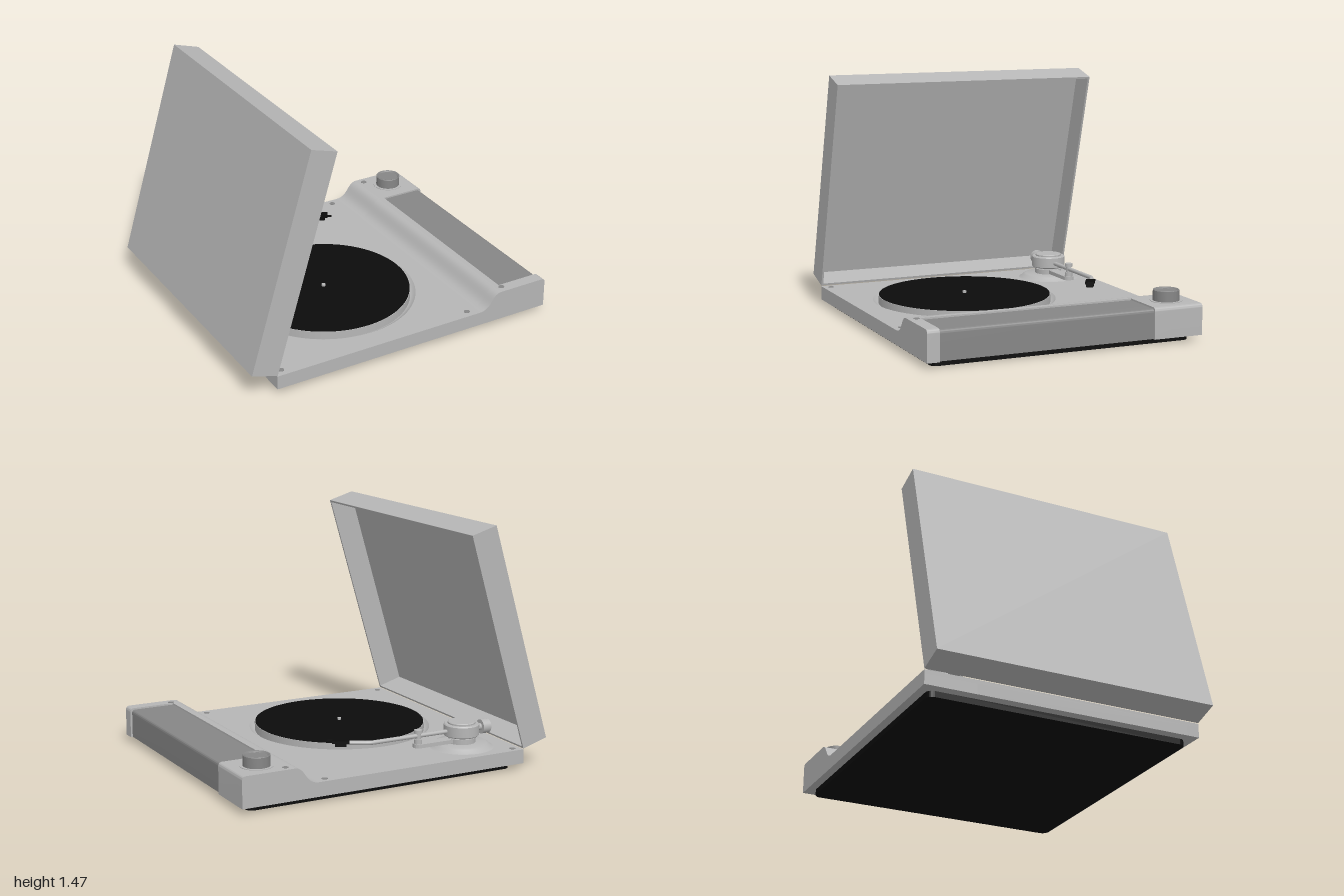
import * as THREE from 'three';
import { toCreasedNormals } from 'three/addons/utils/BufferGeometryUtils.js';

const material = (name, color, side = THREE.FrontSide) => {
  const m = new THREE.MeshStandardMaterial({ color, side });
  m.name = name;
  return m;
};

export function createModel() {
  const model = new THREE.Group();
  model.name = 'turntable';
  const grey = material('light grey', 0xb6b6b6);
  const dark = material('dark grey', 0x868686);
  const black = material('black', 0x0b0b0b);

  const add = (name, geometry, mat, x = 0, y = 0, z = 0, parent = model) => {
    const mesh = new THREE.Mesh(geometry, mat);
    mesh.name = name;
    mesh.position.set(x, y, z);
    parent.add(mesh);
    return mesh;
  };
  const smooth = (g) => toCreasedNormals(g, 0.6);
  // upright disc standing on y0
  const disc = (name, r, y0, y1, x, z, mat = grey, parent = model, seg = 48) =>
    add(name, new THREE.CylinderGeometry(r, r, y1 - y0, seg), mat, x, (y0 + y1) / 2, z, parent);
  // side profile swept along z
  const sweep = (name, shape, z0, z1, mat) =>
    add(name, smooth(new THREE.ExtrudeGeometry(shape, { depth: z1 - z0, bevelEnabled: false, curveSegments: 14 })), mat, 0, 0, z0);
  // plan outline (x, z) extruded downwards from y1
  const plate = (name, shape, y0, y1, mat, parent = model) =>
    add(name, smooth(new THREE.ExtrudeGeometry(shape, { depth: y1 - y0, bevelEnabled: false, curveSegments: 48 }).rotateX(Math.PI / 2)), mat, 0, y1, 0, parent);
  const roundedRect = (x0, z0, x1, z1, r) => {
    const s = new THREE.Shape();
    s.absarc(x1 - r, z0 + r, r, -Math.PI / 2, 0);
    s.absarc(x1 - r, z1 - r, r, 0, Math.PI / 2);
    s.absarc(x0 + r, z1 - r, r, Math.PI / 2, Math.PI);
    s.absarc(x0 + r, z0 + r, r, Math.PI, Math.PI * 1.5);
    s.closePath();
    return s;
  };

  // Body: stepped profile with an S-shaped rise towards the control ridge
  const profile = (full) => {
    const s = new THREE.Shape();
    s.moveTo(-0.84, 0.035);
    s.lineTo(full ? 1 : 0.712, 0.035);
    if (full) {
      s.lineTo(1, 0.195);
      s.quadraticCurveTo(1, 0.22, 0.975, 0.22);
    }
    s.lineTo(0.712, 0.22);
    s.lineTo(0.68, 0.22);
    s.bezierCurveTo(0.61, 0.22, 0.62, 0.12, 0.53, 0.12);
    s.lineTo(0.5, 0.12);
    s.lineTo(0.5, 0.097);
    s.lineTo(-0.84, 0.097);
    s.closePath();
    return s;
  };
  sweep('bodyBack', profile(true), -0.85, -0.54, grey);
  sweep('bodyMiddle', profile(false), -0.54, 0.776, grey);
  sweep('bodyFront', profile(true), 0.776, 0.85, grey);

  // Inset panel wrapping over the ridge
  const panel = new THREE.Shape();
  panel.moveTo(0.712, 0.037);
  panel.lineTo(0.988, 0.037);
  panel.lineTo(0.988, 0.19);
  panel.quadraticCurveTo(0.988, 0.21, 0.968, 0.21);
  panel.lineTo(0.712, 0.21);
  panel.closePath();
  sweep('controlPanel', panel, -0.54, 0.776, dark);

  // Deck with a shallow sloped well around the platter
  const px = -0.145, pz = 0.155;
  const deck = new THREE.Shape();
  deck.moveTo(-0.84, -0.85);
  deck.lineTo(0.5, -0.85);
  deck.lineTo(0.5, 0.85);
  deck.lineTo(-0.84, 0.85);
  deck.closePath();
  const hole = new THREE.Path();
  hole.absarc(px, pz, 0.56, 0, Math.PI * 2, true);
  deck.holes.push(hole);
  plate('deck', deck, 0.097, 0.12, grey);
  const wellPoints = [[0.5, 0.099], [0.53, 0.1], [0.548, 0.11], [0.56, 0.12]].map((p) => new THREE.Vector2(...p));
  add('platterWell', new THREE.LatheGeometry(wellPoints, 96), material('well grey', 0xb6b6b6, THREE.DoubleSide), px, 0, pz);

  // Base plinth
  plate('base', roundedRect(-0.78, -0.8, 0.94, 0.8, 0.04), 0, 0.036, black);

  // Platter, record and spindle
  disc('platter', 0.527, 0.098, 0.149, px, pz, grey, model, 96);
  disc('record', 0.523, 0.149, 0.152, px, pz, black, model, 96);
  disc('spindle', 0.012, 0.15, 0.164, px, pz, grey, model, 20);

  // Deck screws
  for (const z of [-0.805, 0.8]) {
    for (const [x, y] of [[-0.79, 0.12], [0.47, 0.12], [0.715, 0.22]]) {
      disc('screw', 0.018, y - 0.005, y + 0.002, x, z, dark, model, 20);
    }
  }

  // Knob with seat ring and dished top
  const lathe = (pts, seg = 48) => smooth(new THREE.LatheGeometry(pts.map((p) => new THREE.Vector2(...p)), seg));
  disc('knobSeat', 0.094, 0.215, 0.223, 0.84, -0.7);
  add('knob', lathe([[0.077, 0.22], [0.077, 0.284], [0.074, 0.287], [0.068, 0.285], [0.062, 0.279], [0, 0.279]]), dark, 0.84, 0, -0.7);

  // Tonearm
  const arm = new THREE.Group();
  arm.name = 'tonearm';
  model.add(arm);
  const ax = -0.555, az = -0.61, ay = 0.222;
  add('armMound', lathe([[0.195, 0.119], [0.18, 0.125], [0.165, 0.14], [0.15, 0.148], [0, 0.148]]), grey, ax, 0, az, arm);
  disc('armBase', 0.085, 0.145, 0.178, ax, az, grey, arm);
  disc('pivotNeck', 0.065, 0.175, 0.192, ax, az, grey, arm);
  add('pivotHousing', lathe([[0, 0.188], [0.1, 0.188], [0.106, 0.194], [0.106, 0.256], [0.1, 0.262], [0.082, 0.262], [0.082, 0.27], [0.077, 0.274], [0, 0.274]]), grey, ax, 0, az, arm);
  plate('restBracket', roundedRect(ax, az - 0.033, -0.225, az + 0.033, 0.03), 0.153, 0.176, grey, arm);
  disc('restPost', 0.016, 0.17, 0.25, -0.255, az, grey, arm, 24);
  disc('restFoot', 0.024, 0.175, 0.202, -0.255, az, grey, arm, 24);
  disc('restCap', 0.024, 0.238, 0.258, -0.255, az, grey, arm, 24);
  const alongX = (name, r, x0, x1) =>
    add(name, new THREE.CylinderGeometry(r, r, x1 - x0, 32).rotateZ(Math.PI / 2), grey, (x0 + x1) / 2, ay, az, arm);
  alongX('counterweight', 0.043, -0.74, -0.688);
  alongX('counterweightStub', 0.02, -0.69, -0.64);

  // Bent arm tube
  const path = new THREE.CurvePath();
  const v = (x, z) => new THREE.Vector3(x, ay, z);
  path.add(new THREE.LineCurve3(v(-0.46, az), v(0.04, az)));
  path.add(new THREE.QuadraticBezierCurve3(v(0.04, az), v(0.07, az), v(0.095, -0.595)));
  path.add(new THREE.LineCurve3(v(0.095, -0.595), v(0.19, -0.54)));
  add('armTube', new THREE.TubeGeometry(path, 48, 0.013, 12), grey, 0, 0, 0, arm);

  // Headshell with cartridge and finger lift
  const head = new THREE.Group();
  head.name = 'headshell';
  head.position.set(0.215, ay, -0.525);
  head.rotation.y = -0.55;
  arm.add(head);
  add('shell', new THREE.BoxGeometry(0.1, 0.016, 0.055), black, 0, 0.008, 0, head);
  add('cartridge', new THREE.BoxGeometry(0.065, 0.03, 0.042), black, 0, -0.005, 0, head);
  add('fingerLift', new THREE.BoxGeometry(0.035, 0.006, 0.014), black, 0.06, 0.012, 0.018, head);

  // Raised hollow lid, hinged at the left edge
  const lid = new THREE.Group();
  lid.name = 'lid';
  lid.position.set(-0.838, 0.125, 0);
  lid.rotation.z = -0.288;
  model.add(lid);
  const L = 1.356, T = 0.168, w = 0.012;
  add('lidPanel', new THREE.BoxGeometry(w, L, 1.7), grey, -T + w / 2, L / 2, 0, lid);
  for (const y of [w / 2, L - w / 2]) add('lidEndWall', new THREE.BoxGeometry(T - w, w, 1.7), grey, -(T - w) / 2, y, 0, lid);
  for (const s of [-1, 1]) add('lidSideWall', new THREE.BoxGeometry(T - w, L - 2 * w, w), grey, -(T - w) / 2, L / 2, s * (0.85 - w / 2), lid);

  return model;
}
